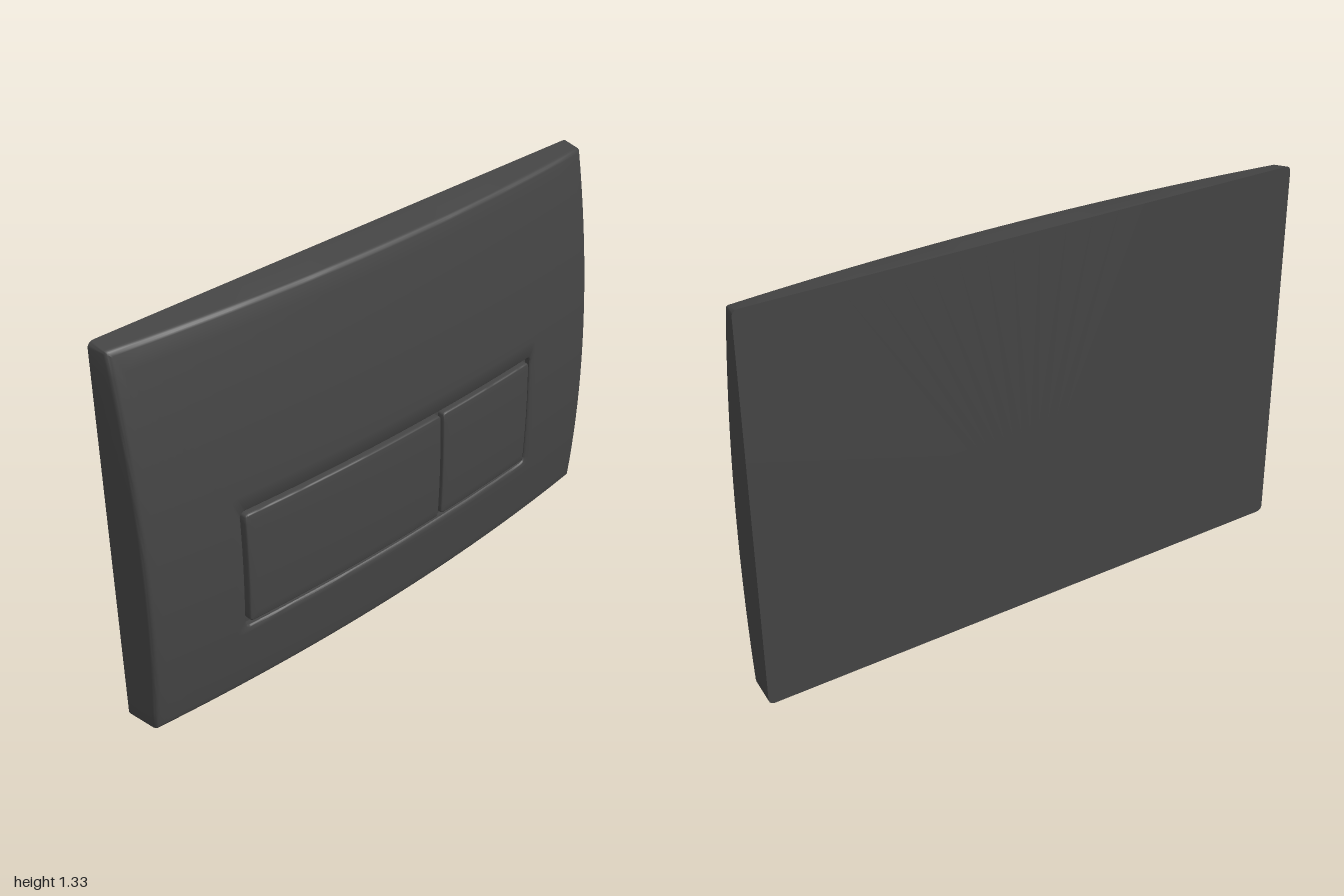
import * as THREE from 'three';
import { toCreasedNormals } from 'three/addons/utils/BufferGeometryUtils.js';

const BACK = -0.105;
const SIDE_STEPS = 20, CORNER_STEPS = 5;

// Doubly curved front face
const face = (x, y) => 0.103 - 0.06 * x * x - 0.1185 * (y - 0.498) ** 2;

// Section: rounded rectangle; depth is measured from the curved face, z is flat
const rect = (x0, x1, y0, y1, r, at) => ({ x0, x1, y0, y1, r, ...at });
const inset = (s, d, at) =>
  rect(s.x0 + d, s.x1 - d, s.y0 + d, s.y1 - d, Math.max(s.r - d, 0.004), at);

function ringPoints(s) {
  const corners = [
    [s.x1 - s.r, s.y0 + s.r, -Math.PI / 2],
    [s.x1 - s.r, s.y1 - s.r, 0],
    [s.x0 + s.r, s.y1 - s.r, Math.PI / 2],
    [s.x0 + s.r, s.y0 + s.r, Math.PI],
  ];
  const arcs = corners.map(([cx, cy, start]) =>
    Array.from({ length: CORNER_STEPS + 1 }, (_, i) => {
      const a = start + (i / CORNER_STEPS) * Math.PI / 2;
      return [cx + s.r * Math.cos(a), cy + s.r * Math.sin(a)];
    }));
  const pts = [];
  arcs.forEach((arc, k) => {
    pts.push(...arc);
    const a = arc[CORNER_STEPS], b = arcs[(k + 1) % 4][0];
    for (let i = 1; i < SIDE_STEPS; i++) {
      const t = i / SIDE_STEPS;
      pts.push([a[0] + (b[0] - a[0]) * t, a[1] + (b[1] - a[1]) * t]);
    }
  });
  return pts.map(([x, y]) => [x, y, s.z !== undefined ? s.z : face(x, y) - s.depth]);
}

// Sections blended from a to b, leaving out a itself
function blend(a, b, steps) {
  return Array.from({ length: steps }, (_, i) => {
    const t = (i + 1) / steps, s = {};
    for (const k of ['x0', 'x1', 'y0', 'y1', 'r', 'depth']) s[k] = a[k] + (b[k] - a[k]) * t;
    return s;
  });
}

// Rectangle shrunk to its middle line, used to close a surface
function collapse(s) {
  const h = Math.min(s.x1 - s.x0, s.y1 - s.y0) / 2;
  return rect(s.x0 + h, s.x1 - h, s.y0 + h, s.y1 - h, 0, { depth: s.depth, z: s.z });
}

// Quarter-round edge running from the wall onto the face
function roundEdge(s, radius, top, steps = 4) {
  return Array.from({ length: steps + 1 }, (_, i) => {
    const a = (i / steps) * Math.PI / 2;
    return inset(s, radius * (1 - Math.cos(a)), { depth: top + radius * (1 - Math.sin(a)) });
  });
}

function loft(sections) {
  const rings = sections.map(ringPoints), n = rings[0].length, index = [];
  for (let i = 0; i < rings.length - 1; i++) {
    for (let j = 0; j < n; j++) {
      const a = i * n + j, b = i * n + (j + 1) % n;
      index.push(a, b, b + n, a, b + n, a + n);
    }
  }
  const g = new THREE.BufferGeometry();
  g.setAttribute('position', new THREE.Float32BufferAttribute(rings.flat(2), 3));
  g.setIndex(index);
  return toCreasedNormals(g, 0.65);
}

export function createModel() {
  const group = new THREE.Group();
  const charcoal = new THREE.MeshStandardMaterial({ color: 0x444444 });
  charcoal.name = 'charcoal';
  const add = (name, sections) => {
    const mesh = new THREE.Mesh(loft(sections), charcoal);
    mesh.name = name;
    group.add(mesh);
  };

  // Cover plate: flat back, tapered sides, curved face and a recess for the buttons
  const back = rect(-1, 1, 0, 1.333, 0.02, { z: BACK });
  const rim = roundEdge(inset(back, 0.01, {}), 0.016, 0);
  const lip = rect(-0.662, 0.656, 0.25, 0.694, 0.025, { depth: 0 });
  const recess = inset(lip, 0.006, { depth: 0.006 });
  const floor = { ...recess, depth: 0.024 };
  add('coverPlate', [
    collapse(back), back, ...rim,
    ...blend(rim[rim.length - 1], lip, 12),
    inset(lip, 0.003, { depth: 0.002 }), recess, floor,
    ...blend(floor, collapse(floor), 8),
  ]);

  // Wide and narrow push buttons
  for (const [name, x0, x1] of [['wideButton', -0.642, 0.176], ['narrowButton', 0.189, 0.638]]) {
    const base = rect(x0, x1, 0.272, 0.674, 0.014, { depth: 0.026 });
    const edge = roundEdge(base, 0.006, -0.003, 3);
    const top = edge[edge.length - 1];
    add(name, [base, ...edge, ...blend(top, collapse(top), 8)]);
  }
  return group;
}
